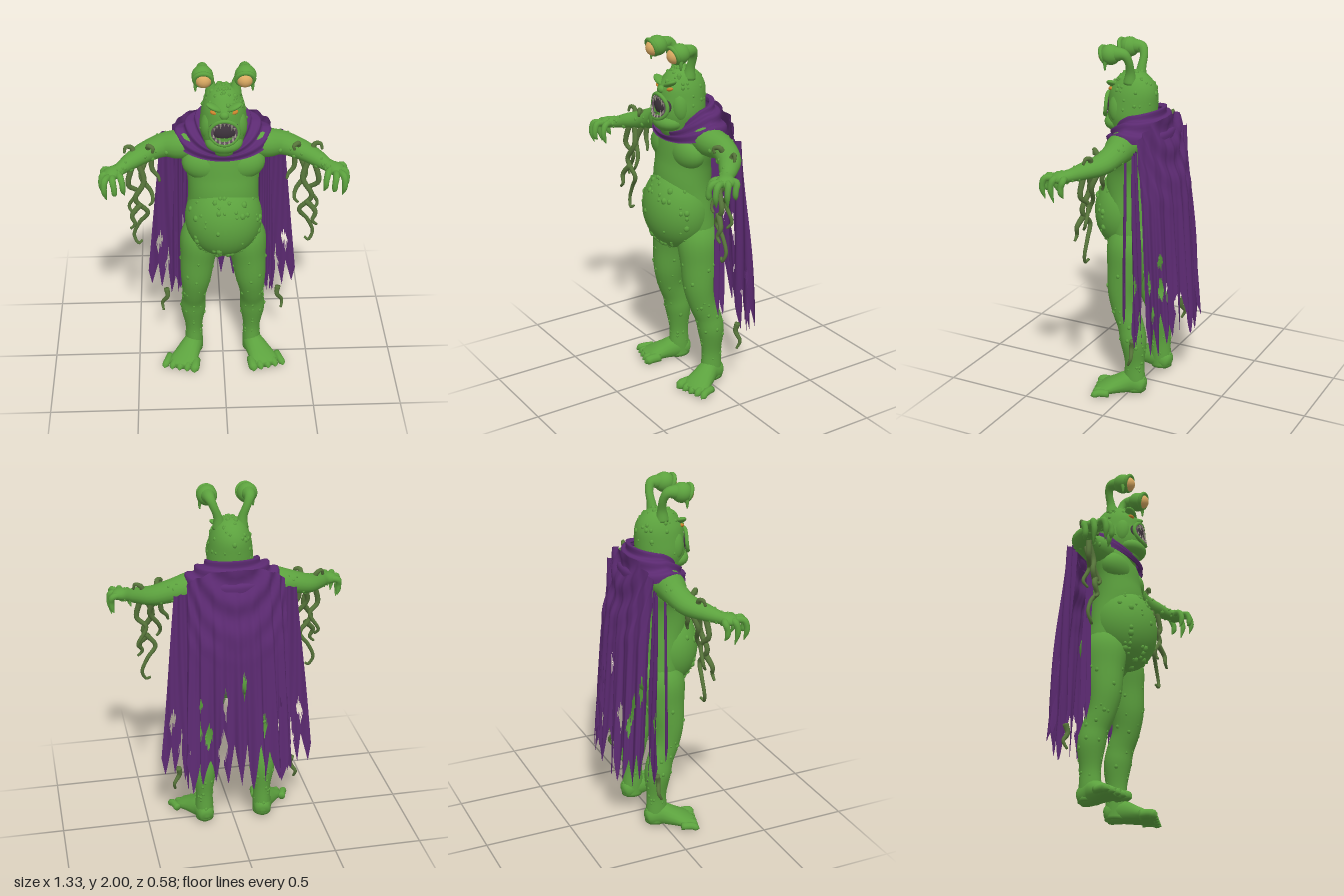
import * as THREE from 'three';
import { mergeGeometries } from 'three/addons/utils/BufferGeometryUtils.js';

const mat = (name, color, side = THREE.FrontSide) => {
  const m = new THREE.MeshStandardMaterial({ color, side });
  m.name = name;
  return m;
};

let seed = 7;
const rnd = () => ((seed = (seed * 16807) % 2147483647) / 2147483647);
const lerp = THREE.MathUtils.lerp;

function fromGrid(pos, idx) {
  const g = new THREE.BufferGeometry();
  g.setAttribute('position', new THREE.Float32BufferAttribute(pos, 3));
  g.setIndex(idx);
  g.computeVertexNormals();
  return g;
}

// Smooth limb through points [x, y, z, radiusA, radiusB]; up steers the cross-section
function sweep(pts, up = [0, 0, 1], steps = 6, sides = 16) {
  const V = (f) => new THREE.CatmullRomCurve3(pts.map(f), false, 'catmullrom', 0.5);
  const path = V((p) => new THREE.Vector3(p[0], p[1], p[2]));
  const rad = V((p) => new THREE.Vector3(p[3], p[4] ?? p[3], 0));
  const n = (pts.length - 1) * steps, U = new THREE.Vector3(...up), pos = [], idx = [];
  for (let i = 0; i <= n; i++) {
    const c = path.getPoint(i / n), r = rad.getPoint(i / n), T = path.getTangent(i / n);
    const s = U.clone().cross(T).normalize(), b = T.clone().cross(s);
    for (let j = 0; j < sides; j++) {
      const a = (j / sides) * Math.PI * 2;
      const q = c.clone().addScaledVector(s, Math.cos(a) * Math.max(r.x, 0.001))
        .addScaledVector(b, Math.sin(a) * Math.max(r.y, 0.001));
      pos.push(q.x, q.y, q.z);
    }
  }
  for (let i = 0; i < n; i++) for (let j = 0; j < sides; j++) {
    const k = (j + 1) % sides, a = i * sides + j, b = i * sides + k;
    idx.push(a, b, a + sides, b, b + sides, a + sides);
  }
  for (const [ring, flip] of [[0, true], [n, false]]) {
    const c = path.getPoint(ring / n), ci = pos.length / 3;
    pos.push(c.x, c.y, c.z);
    for (let j = 0; j < sides; j++) {
      const a = ring * sides + j, b = ring * sides + ((j + 1) % sides);
      idx.push(ci, flip ? b : a, flip ? a : b);
    }
  }
  return fromGrid(pos, idx);
}

const ball = (x, y, z, rx, ry = rx, rz = rx, tilt = 0, w = 24, h = 16) =>
  new THREE.SphereGeometry(1, w, h).scale(rx, ry, rz).rotateZ(tilt).translate(x, y, z);

const join = (list) => mergeGeometries(list.map((g) => { g.deleteAttribute('uv'); return g; }));

function mirrored(g) {
  const m = g.clone().scale(-1, 1, 1), ix = m.index.array;
  for (let i = 0; i < ix.length; i += 3) [ix[i], ix[i + 1]] = [ix[i + 1], ix[i]];
  m.computeVertexNormals();
  return m;
}

// Small half-sunk bumps scattered over a surface
function warts(geo, count, lo, hi, keep = () => true) {
  const p = geo.attributes.position, out = [];
  for (let t = 0; out.length < count && t < count * 30; t++) {
    const i = Math.floor(rnd() * p.count), v = new THREE.Vector3().fromBufferAttribute(p, i);
    if (!keep(v)) continue;
    const r = lerp(lo, hi, rnd() ** 2);
    v.addScaledVector(new THREE.Vector3().fromBufferAttribute(geo.attributes.normal, i), -0.4 * r);
    out.push(ball(v.x, v.y, v.z, r, r * 1.15, r, 0, 8, 6));
  }
  return join(out);
}

// Ragged cloth: place(u, y, v) gives a point; the hem zigzags and holes are left open
function ragged(cols, rows, teeth, top, hem, cut, holes, place) {
  const low = Array.from({ length: teeth + 1 }, (_, i) => hem + (i % 2 ? rnd() * 0.1 : 0.08 + cut * (0.4 + 0.6 * rnd())));
  const pos = [], idx = [], at = [];
  for (let j = 0; j <= rows; j++) for (let i = 0; i <= cols; i++) {
    const u = (i / cols) * 2 - 1, f = (i / cols) * teeth, k = Math.min(Math.floor(f), teeth - 1);
    const y = lerp(top(u), lerp(low[k], low[k + 1], f - k), j / rows);
    at.push([u, y]);
    pos.push(...place(u, y, (1.64 - y) / 1.3));
  }
  for (let j = 0; j < rows; j++) for (let i = 0; i < cols; i++) {
    const a = j * (cols + 1) + i, b = a + cols + 1, [u, y] = at[a];
    if (holes.some((h) => Math.abs(u - h[0]) / h[2] + Math.abs(y - h[1]) / h[3] < 1)) continue;
    idx.push(a, b, a + 1, a + 1, b, b + 1);
  }
  return fromGrid(pos, idx);
}

export function createModel() {
  const root = new THREE.Group();
  root.name = 'swampMonster';
  const skin = mat('skin green', 0x5ca23e), vine = mat('tentacle green', 0x56743a);
  const cloth = mat('cape purple', 0x5c2a72, THREE.DoubleSide), eye = mat('eye tan', 0xdcab62);
  const dark = mat('mouth dark', 0x40353f), gum = mat('gum mauve', 0x5e4c5a);
  const tooth = mat('tooth grey', 0xa09c8c), small = mat('small eye orange', 0xc8802c);
  const add = (name, geo, m) => {
    const mesh = new THREE.Mesh(geo, m);
    mesh.name = name;
    root.add(mesh);
  };
  const pair = (name, geo, m) => { add(name + 'Left', geo, m); add(name + 'Right', mirrored(geo), m); };

  // Torso, belly, chest
  const torso = sweep([[0, 0.8, 0.01, 0.1, 0.07], [0, 0.9, 0.02, 0.2, 0.13], [0, 1.04, 0.04, 0.205, 0.135], [0, 1.2, 0.055, 0.192, 0.145],
    [0, 1.32, 0.045, 0.2, 0.135], [0, 1.43, 0.03, 0.235, 0.13], [0, 1.52, 0.01, 0.21, 0.11], [0, 1.6, 0.02, 0.1, 0.09]], [0, 0, 1], 6, 32);
  add('torso', torso, skin);
  const belly = ball(0, 1.05, 0.09, 0.213, 0.235, 0.185, 0, 36, 24);
  add('belly', belly, skin);
  add('bellyWarts', warts(belly, 60, 0.008, 0.02, (v) => v.z > 0.13), skin);
  pair('chest', ball(0.1, 1.39, 0.08, 0.125, 0.095, 0.085, 0.12), skin);
  pair('buttock', ball(0.09, 0.92, -0.05, 0.1, 0.1, 0.075), skin);

  // Legs and feet
  const leg = sweep([[0.1, 0.98, 0.02, 0.09, 0.09], [0.125, 0.88, 0.03, 0.115, 0.12], [0.143, 0.75, 0.035, 0.1, 0.11], [0.155, 0.62, 0.045, 0.088, 0.092],
    [0.165, 0.51, 0.03, 0.072, 0.077], [0.17, 0.42, -0.005, 0.068, 0.076], [0.174, 0.33, -0.024, 0.072, 0.076],
    [0.172, 0.2, -0.03, 0.05, 0.058], [0.172, 0.1, -0.03, 0.052, 0.062], [0.172, 0.02, -0.035, 0.052, 0.062]], [0, 0, 1], 5, 20);
  pair('leg', leg, skin);
  pair('knee', ball(0.165, 0.52, 0.055, 0.056, 0.07, 0.05), skin);
  pair('legWarts', warts(leg, 55, 0.006, 0.013, (v) => v.y < 0.85 && v.y > 0.1), skin);
  const foot = [sweep([[0.165, 0.05, -0.1, 0.01, 0.01], [0.168, 0.055, -0.08, 0.045, 0.052], [0.18, 0.068, -0.01, 0.058, 0.066],
    [0.212, 0.052, 0.06, 0.072, 0.05], [0.24, 0.034, 0.125, 0.085, 0.033], [0.25, 0.026, 0.165, 0.06, 0.02]], [0, 1, 0])];
  for (let i = 0; i < 5; i++) {
    const x = 0.165 + i * 0.038, z = 0.13 - i * 0.012, r = i ? 0.021 : 0.027;
    foot.push(sweep([[x, 0.034, z - 0.02, r], [x + 0.005 + i * 0.003, 0.034, z + 0.035, r],
      [x + 0.01 + i * 0.005, 0.024, z + 0.06, r * 0.9], [x + 0.01 + i * 0.006, 0.015, z + 0.077, 0.002]], [0, 1, 0], 4, 10));
  }
  pair('foot', join(foot), skin);

  // Arms and hands
  const arm = sweep([[0.14, 1.49, 0.02, 0.07, 0.09], [0.23, 1.475, 0.02, 0.08, 0.085], [0.32, 1.465, 0.01, 0.065, 0.07], [0.42, 1.435, 0.035, 0.054, 0.064],
    [0.5, 1.415, 0.095, 0.044, 0.05], [0.555, 1.4, 0.145, 0.033, 0.037], [0.605, 1.395, 0.185, 0.03, 0.05], [0.635, 1.39, 0.205, 0.012, 0.02]], [0, 0, 1], 6, 18);
  pair('arm', arm, skin);
  pair('armWarts', warts(arm, 24, 0.006, 0.014, (v) => v.x > 0.3 && v.x < 0.58), skin);
  const fingers = [[0.59, 0.155, 0.637, 0.14, 0.645, 0.15, 1.3], [0.615, 0.185, 0.643, 0.195, 0.652, 0.205, 1.27],
    [0.61, 0.21, 0.63, 0.25, 0.636, 0.265, 1.28], [0.59, 0.21, 0.59, 0.255, 0.583, 0.272, 1.31], [0.565, 0.18, 0.55, 0.22, 0.54, 0.24, 1.29]];
  pair('fingers', join(fingers.map(([x, z, mx, mz, tx, tz, ty]) => sweep([[x, 1.395, z, 0.018], [mx, 1.395, mz, 0.018],
    [tx, 1.36, tz, 0.016], [tx - 0.002, 1.325, tz, 0.014], [tx - 0.01, ty, tz - 0.01, 0.002]], [0.3, 0.5, 0.8], 4, 9))), skin);

  // Hanging tentacles: long wavy ones, short curls on the arm, one behind each calf
  const vines = [
    [[0.46, 1.4, 0.08], [0.43, 1.29, 0.1], [0.48, 1.19, 0.12], [0.415, 1.1, 0.11], [0.46, 1.03, 0.1], [0.495, 0.95, 0.1], [0.475, 0.895, 0.11], [0.45, 0.905, 0.1]],
    [[0.49, 1.39, 0.1], [0.515, 1.28, 0.11], [0.465, 1.22, 0.09], [0.515, 1.13, 0.08], [0.5, 1.09, 0.1]],
    [[0.42, 1.4, 0.05], [0.445, 1.31, 0.08], [0.395, 1.23, 0.1], [0.385, 1.18, 0.12], [0.405, 1.15, 0.12]],
    [[0.39, 1.42, 0.04], [0.385, 1.34, 0.05], [0.355, 1.3, 0.06], [0.345, 1.27, 0.07]],
    [[0.45, 1.16, 0.12], [0.5, 1.1, 0.14], [0.485, 1.05, 0.15], [0.51, 1.02, 0.15]],
    [[0.4, 1.45, 0.05], [0.4, 1.5, 0.08], [0.375, 1.495, 0.1], [0.38, 1.47, 0.1]],
    [[0.47, 1.43, 0.07], [0.49, 1.48, 0.06], [0.52, 1.49, 0.07], [0.53, 1.46, 0.08]],
    [[0.33, 0.41, -0.1], [0.325, 0.36, -0.09], [0.355, 0.31, -0.1], [0.35, 0.265, -0.08]]];
  pair('tentacles', join(vines.map((v) => sweep(v.map((p, i) => [...p, lerp(0.017, 0.007, i / (v.length - 1))]), [0.2, 0.1, 1], 6, 9))), vine);

  // Head, jaw and brow
  const head = sweep([[0, 1.46, 0.05, 0.08, 0.08], [0, 1.53, 0.065, 0.105, 0.125], [0, 1.6, 0.065, 0.126, 0.138], [0, 1.68, 0.06, 0.121, 0.138],
    [0, 1.75, 0.055, 0.108, 0.13], [0, 1.81, 0.055, 0.078, 0.09], [0, 1.838, 0.055, 0.04, 0.045], [0, 1.845, 0.055, 0.002, 0.002]], [0, 0, 1], 6, 28);
  add('head', head, skin);
  add('headWarts', warts(head, 75, 0.007, 0.015, (v) => v.y > 1.54 && (v.z < 0.13 || v.y > 1.78)), skin);
  add('jaw', ball(0, 1.555, 0.14, 0.1, 0.055, 0.085), skin);
  add('nose', ball(0, 1.735, 0.185, 0.025, 0.022, 0.02), skin);
  pair('brow', ball(0.05, 1.772, 0.162, 0.048, 0.015, 0.03, 0.45), skin);
  pair('smallEye', ball(0.053, 1.744, 0.164, 0.021, 0.011, 0.018, 0.3), small);
  pair('cheek', ball(0.078, 1.65, 0.115, 0.044, 0.085, 0.05, 0.12), skin);

  // Open mouth with lips, gums and teeth
  const rim = (a, s = 1) => {
    const x = Math.cos(a) * lerp(0.08, 0.066, (Math.sin(a) + 1) / 2) * s;
    return new THREE.Vector3(x, 1.647 + Math.sin(a) * 0.066 * s, 0.214 - 4 * x * x - Math.sin(a) * 0.008);
  };
  const loop = (s, r) => new THREE.TubeGeometry(new THREE.CatmullRomCurve3(
    Array.from({ length: 16 }, (_, i) => rim((i / 16) * Math.PI * 2, s)), true), 48, r, 8, true);
  add('lips', loop(1, 0.011), skin);
  add('gums', loop(0.86, 0.008), gum);
  add('mouth', ball(0, 1.647, 0.165, 0.08, 0.066, 0.045), dark);
  const teeth = [];
  for (const top of [true, false]) for (let i = 0; i < 7; i++) {
    const p = rim((top ? 1 : -1) * (0.45 + i * 0.373), 0.83), h = i % 3 === 1 ? 0.036 : 0.02;
    teeth.push(new THREE.ConeGeometry(0.007, h, 7).rotateX(top ? Math.PI : 0).translate(p.x, p.y + (top ? -h : h) * 0.4, p.z + 0.005));
  }
  add('teeth', join(teeth), tooth);

  // Eye stalks
  pair('eyeStalk', sweep([[0.06, 1.79, 0.05, 0.038], [0.068, 1.85, 0.045, 0.025], [0.09, 1.91, 0.042, 0.022], [0.107, 1.95, 0.06, 0.028],
    [0.11, 1.952, 0.1, 0.038], [0.11, 1.945, 0.14, 0.04]], [1, 0, 0], 6, 14), skin);
  pair('eyePod', ball(0.11, 1.945, 0.14, 0.056, 0.055, 0.056), skin);
  pair('eyeball', ball(0.105, 1.937, 0.167, 0.043), eye);
  pair('eyelid', new THREE.TorusGeometry(0.044, 0.012, 8, 28).rotateX(0.35).translate(0.107, 1.941, 0.176), skin);
  pair('eyelidDrip', sweep([[0.14, 1.92, 0.15, 0.016], [0.146, 1.895, 0.155, 0.01], [0.147, 1.865, 0.155, 0.004]], [0, 0, 1], 4, 8), skin);

  // Cowl draped round the neck
  const cp = [], ci = [], N = 64, M = 18;
  for (let j = 0; j <= M; j++) for (let i = 0; i < N; i++) {
    const a = (i / N) * Math.PI * 2, c = Math.cos(a), s = j / M, f = Math.max(c, 0), b = Math.max(-c, 0);
    const fold = 0.009 * Math.sin(s * 17 + 1.5 * c);
    const y = lerp(1.625 - 0.12 * f ** 1.3 + 0.035 * b, 1.53 - 0.07 * f - 0.04 * b, s ** 1.6) + fold;
    const z = c > 0 ? 0.01 + c * (0.145 + 0.03 * s + fold) : 0.01 + c * (0.115 + 0.055 * s + fold * 0.7);
    cp.push(Math.sin(a) * (0.122 + 0.15 * s + fold), y, z);
  }
  for (let j = 0; j < M; j++) for (let i = 0; i < N; i++) {
    const k = (i + 1) % N, a = j * N + i, b = j * N + k;
    ci.push(a, a + N, b, b, a + N, b + N);
  }
  add('cowl', fromGrid(cp, ci), cloth);

  // Tattered back cape with hanging folds and V-shaped swags
  const holes = Array.from({ length: 14 }, () => [rnd() * 1.8 - 0.9, 0.55 + rnd() * 0.45, 0.03 + rnd() * 0.03, 0.05 + rnd() * 0.05]);
  add('cape', ragged(160, 48, 22, (u) => 1.62 - 0.09 * u * u, 0.3, 0.26, holes, (u, y, v) => {
    const phi = u * 1.22, swag = Math.max(0, 1 - v * 2.3) * 0.016 * Math.sin(36 * (y - 0.4 * u * u));
    const r = 1 + (0.02 + 0.1 * v) * Math.sin(u * 23 + 2 * v) + 0.04 * v * Math.sin(u * 55);
    const depth = 0.085 + 0.065 * Math.min(1, v * 3);
    return [Math.sin(phi) * ((0.28 + 0.06 * v) * (0.5 + 0.5 * r)), y, -0.05 - 0.08 * v - Math.cos(phi) * (depth * r + swag)];
  }), cloth);

  // Torn strips hanging below each shoulder
  const strip = (x0, x1, z0, z1, w0, w1, teeth, hem, slant, gaps) => ragged(24, 30, teeth, () => 1.48, hem, 0.22, gaps, (u, y, v) =>
    [lerp(x0, x1, v) + u * lerp(w0, w1, v), y, lerp(z0, z1, v) - u * slant + 0.008 * Math.sin(u * 6 + v * 8)]);
  pair('capeStripInner', strip(0.225, 0.28, -0.01, -0.015, 0.02, 0.035, 4, 0.43, 0.012, [[0.2, 0.85, 0.3, 0.06]]), cloth);
  pair('capeStripOuter', strip(0.285, 0.36, -0.09, -0.145, 0.035, 0.09, 6, 0.32, 0.01, [[0.3, 0.75, 0.25, 0.07], [-0.4, 0.6, 0.2, 0.06]]), cloth);
  return root;
}
